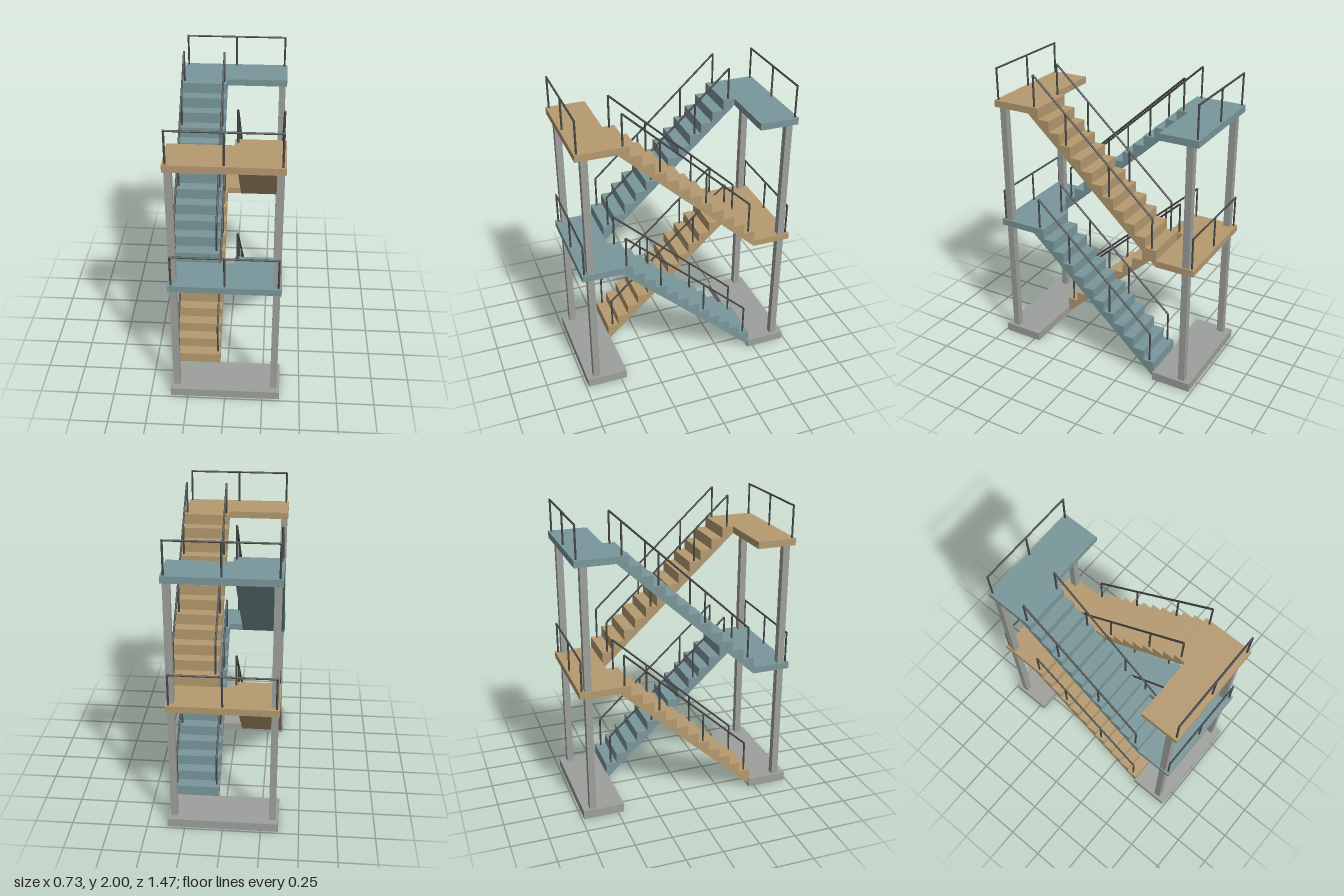
import * as THREE from 'three';

const STEPS = 12, RUN = 0.93, BASE = 0.06, RISE = 0.862; // one flight
const tread = RUN / STEPS, riser = RISE / STEPS;
const SLAB = 0.045, HALF = 0.355, INNER = 0.048, RAIL_H = 0.21, RAIL_R = 0.0065;

const paint = (color) => new THREE.MeshStandardMaterial({ color });

function add(parent, name, geometry, material) {
  const mesh = new THREE.Mesh(geometry, material);
  mesh.name = name;
  parent.add(mesh);
  return mesh;
}

function box(parent, name, material, w, h, d, x, y, z) {
  add(parent, name, new THREE.BoxGeometry(w, h, d), material).position.set(x, y, z);
}

// round bar between two points
function bar(parent, name, material, a, b) {
  const dir = b.clone().sub(a);
  const mesh = add(parent, name, new THREE.CylinderGeometry(RAIL_R, RAIL_R, dir.length(), 8), material);
  mesh.position.copy(a).add(b).multiplyScalar(0.5);
  mesh.quaternion.setFromUnitVectors(new THREE.Vector3(0, 1, 0), dir.normalize());
}

// sawtooth side profile with a sloping underside, extruded across the width
function flightGeometry() {
  const s0 = -RUN / 2;
  const shape = new THREE.Shape();
  shape.moveTo(s0, BASE - SLAB);
  shape.lineTo(RUN / 2, BASE + RISE - SLAB);
  for (let i = STEPS; i > 0; i--) {
    shape.lineTo(s0 + i * tread, BASE + i * riser);
    shape.lineTo(s0 + (i - 1) * tread, BASE + i * riser);
  }
  shape.closePath();
  const geometry = new THREE.ExtrudeGeometry(shape, { depth: HALF - INNER, bevelEnabled: false });
  return geometry.rotateY(Math.PI / 2).translate(-HALF, 0, 0);
}

// a flight climbing to the back on the -x side, its landing and railings
function createStorey(material, railMaterial) {
  const storey = new THREE.Group();
  const top = BASE + RISE;
  add(storey, 'flight', flightGeometry(), material);
  box(storey, 'landing', material, 2 * HALF, SLAB, 0.26, 0, top - SLAB / 2, -RUN / 2 - 0.13);

  // sloping handrails on both edges of the flight
  for (const x of [-0.337, -0.067]) {
    const foot = (i) => new THREE.Vector3(x, BASE + (i + 1) * riser, RUN / 2 - (i + 0.5) * tread);
    const head = (i) => foot(i).setY(foot(i).y + RAIL_H);
    for (const i of [0, 4, 8, 11]) bar(storey, 'flightRailPost', railMaterial, foot(i), head(i));
    bar(storey, 'flightHandrail', railMaterial, head(0), head(STEPS - 1));
  }

  // guard along the outer edge of the landing
  const z = -0.707, y = top + RAIL_H;
  for (const x of [-0.335, 0, 0.335]) {
    bar(storey, 'landingRailPost', railMaterial, new THREE.Vector3(x, top, z), new THREE.Vector3(x, y, z));
  }
  bar(storey, 'landingHandrail', railMaterial, new THREE.Vector3(-0.341, y, z), new THREE.Vector3(0.341, y, z));
  return storey;
}

export function createModel() {
  const model = new THREE.Group();
  model.name = 'doubleStaircase';
  const tan = paint(0xb59a70), teal = paint(0x7a979b);
  const concrete = paint(0x9da09b), dark = paint(0x484a4a);

  // two interlocking stairs, each turning half round at every storey
  [['tanStair', tan], ['tealStair', teal]].forEach(([name, material], k) => {
    const stair = new THREE.Group();
    stair.name = name;
    stair.rotation.y = k * Math.PI;
    for (let level = 0; level < 2; level++) {
      const storey = createStorey(material, dark);
      storey.name = level ? 'upperStorey' : 'lowerStorey';
      storey.rotation.y = level * Math.PI;
      storey.position.y = level * RISE;
      stair.add(storey);
    }
    model.add(stair);
  });

  // foundation slabs and corner columns
  const columnTop = BASE + 2 * RISE - SLAB;
  for (const side of [1, -1]) {
    box(model, 'foundation', concrete, 0.73, BASE, 0.275, 0, BASE / 2, side * 0.5975);
    for (const x of [-0.325, 0.325]) {
      box(model, 'column', concrete, 0.045, columnTop - BASE, 0.045, x, (columnTop + BASE) / 2, side * 0.667);
    }
  }
  return model;
}
